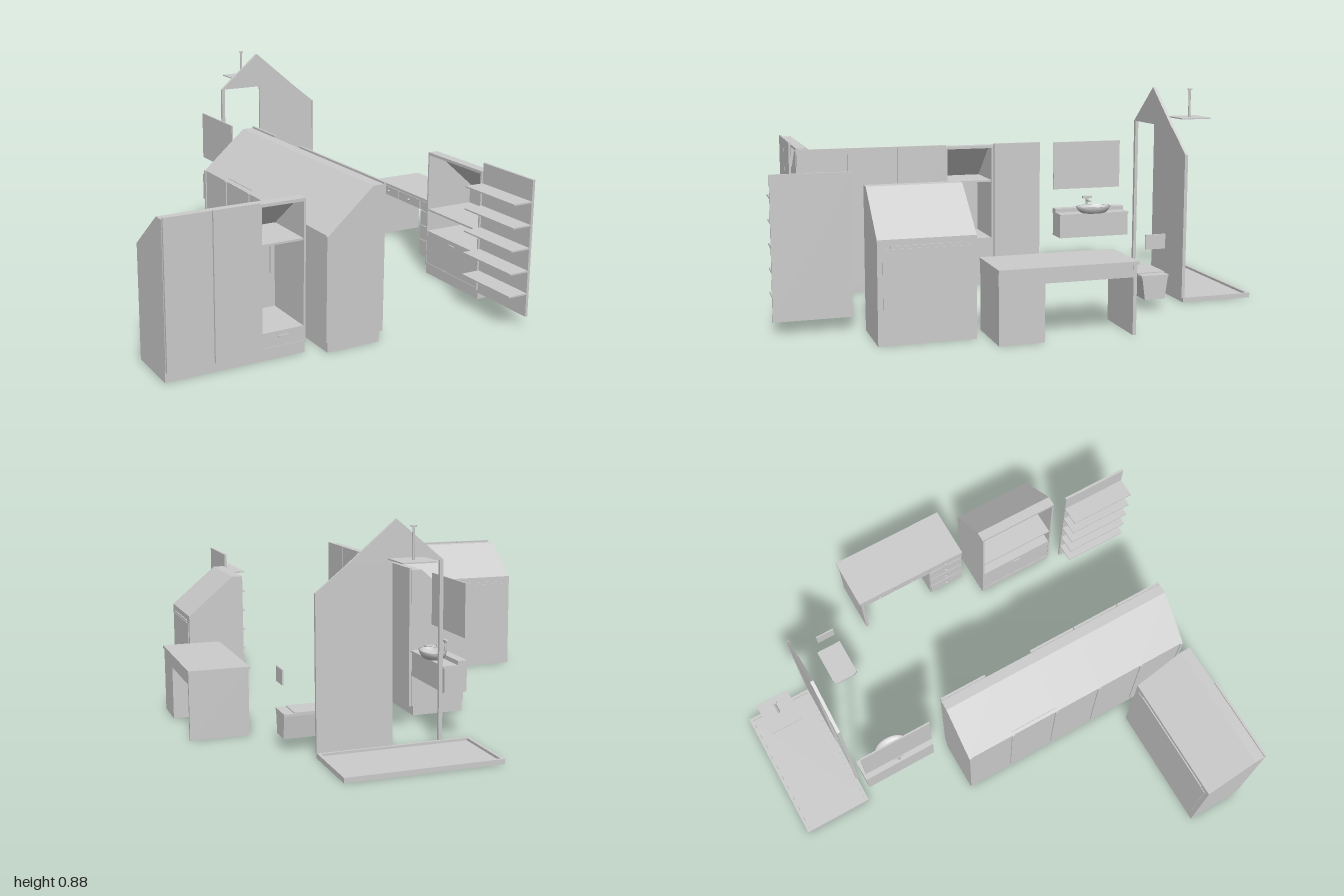
import * as THREE from 'three';

const mat = new THREE.MeshStandardMaterial({ color: 0xcccccc, side: THREE.DoubleSide });

function add(parent, name, geo) {
  const m = new THREE.Mesh(geo, mat);
  m.name = name;
  parent.add(m);
  return m;
}

// box given by its min and max on each axis
function box(parent, name, x0, x1, y0, y1, z0, z1) {
  const m = add(parent, name, new THREE.BoxGeometry(x1 - x0, y1 - y0, z1 - z0));
  m.position.set((x0 + x1) / 2, (y0 + y1) / 2, (z0 + z1) / 2);
  return m;
}

const shapeOf = (pts) => new THREE.Shape(pts.map((p) => new THREE.Vector2(...p)));

// (depth, height) outline swept along x from x0 to x1
function sweep(parent, name, pts, x0, x1) {
  const g = new THREE.ExtrudeGeometry(shapeOf(pts), { depth: x1 - x0, bevelEnabled: false });
  g.rotateY(-Math.PI / 2).translate(x1, 0, 0);
  return add(parent, name, g);
}

// Cabinet under a sloping roof: back at z = 0, front towards +z, centred on x
function cabinet(name, { width, depth, low, top, slope, modules, shelf, drawer, hatch }) {
  const c = new THREE.Group();
  c.name = name;
  const b = 0.04, t = 0.012, step = width / modules.length;
  const outline = [[0, b], [depth, b], [depth, top], [slope, top], [0, low]];
  const shell = [[depth, b], [depth, b + t], [t, b + t], [t, low - 0.005], [slope, top - t],
    [depth, top - t], [depth, top], [slope, top], [0, low], [0, b]];
  box(c, 'plinth', -width / 2, width / 2, 0, b, 0, depth - 0.008);
  modules.forEach((kind, i) => {
    const x0 = -width / 2 + i * step, x1 = x0 + step;
    if (kind === 'door') {
      sweep(c, 'closedModule', outline, x0, x1);
      box(c, 'door', x0 + 0.002, x1 - 0.002, b, top + 0.008, depth, depth + 0.01);
      return;
    }
    // open niche with sides, shelf and drawer
    sweep(c, 'nicheShell', shell, x0, x1);
    sweep(c, 'nicheSide', outline, x0, x0 + 0.008);
    sweep(c, 'nicheSide', outline, x1 - 0.008, x1);
    box(c, 'nicheShelf', x0, x1, shelf - 0.008, shelf, 0.012, depth - 0.004);
    box(c, 'drawer', x0 + 0.004, x1 - 0.004, b + 0.003, drawer, 0.012, depth - 0.002);
    const xm = (x0 + x1) / 2;
    box(c, 'drawerHandle', xm - 0.02, xm + 0.02, drawer - 0.024, drawer - 0.018, depth - 0.002, depth + 0.003);
  });
  // back: hatch with grip, or battens
  if (hatch) {
    const w = width / 2 - 0.02;
    box(c, 'backHatch', -w, w, 0.1, low - 0.035, -0.003, 0.001);
    box(c, 'hatchGrip', -w + 0.03, w - 0.03, low - 0.031, low - 0.023, -0.005, 0.001);
  } else {
    for (let i = 0; i <= modules.length; i++) {
      const x = Math.min(Math.max(-width / 2 + i * step, -width / 2 + 0.007), width / 2 - 0.007);
      box(c, 'backBatten', x - 0.007, x + 0.007, b, low, -0.005, 0.001);
    }
  }
  return c;
}

function shelfUnit() {
  const g = new THREE.Group();
  g.name = 'shelfUnit';
  box(g, 'backPanel', 0.517, 0.528, 0.05, 0.605, 0.7, 1);
  for (let i = 0; i < 5; i++) {
    const y = 0.145 + i * 0.093;
    box(g, 'shelf', 0.432, 0.518, y - 0.003, y + 0.003, 0.7, 1);
  }
  return g;
}

function desk() {
  const g = new THREE.Group();
  g.name = 'desk';
  box(g, 'deskTop', 0.665, 0.91, 0.268, 0.28, -0.305, 0.24);
  box(g, 'apron', 0.675, 0.905, 0.22, 0.268, -0.29, 0.24);
  box(g, 'pedestal', 0.675, 0.905, 0, 0.22, 0.062, 0.238);
  box(g, 'sidePanel', 0.67, 0.908, 0, 0.268, -0.298, -0.284);
  // drawer fronts and knobs face -x
  const fronts = [[0.15, 0.244, 0.17, 0.04], [0.15, 0.185, 0.17, 0.064], [0.15, 0.115, 0.17, 0.064],
    [0.15, 0.045, 0.17, 0.064], [-0.03, 0.244, 0.17, 0.04], [-0.2, 0.244, 0.16, 0.04]];
  for (const [z, y, w, h] of fronts) {
    box(g, 'drawerFront', 0.67, 0.677, y - h / 2, y + h / 2, z - w / 2, z + w / 2);
    const k = add(g, 'drawerKnob', new THREE.SphereGeometry(0.006, 10, 8));
    k.position.set(0.666, y, z);
  }
  return g;
}

function shower() {
  const g = new THREE.Group();
  g.name = 'shower';
  // tray with raised rim
  box(g, 'trayFloor', -0.105, 0.515, 0, 0.01, -1, -0.69);
  const rim = shapeOf([[-0.105, 0.69], [0.515, 0.69], [0.515, 1], [-0.105, 1]]);
  rim.holes.push(shapeOf([[-0.092, 0.703], [0.502, 0.703], [0.502, 0.987], [-0.092, 0.987]]));
  add(g, 'trayRim', new THREE.ExtrudeGeometry(rim, { depth: 0.02, bevelEnabled: false })).rotation.x = -Math.PI / 2;
  // gabled partition with a doorway
  const panel = (name, pts, z, d) => add(g, name,
    new THREE.ExtrudeGeometry(shapeOf(pts), { depth: d, bevelEnabled: false })).position.set(0, 0, z);
  panel('wallPanel', [[0.215, 0.02], [0.515, 0.02], [0.515, 0.62], [0.39, 0.72], [0.215, 0.72]], -0.693, 0.01);
  panel('gable', [[0.01, 0.72], [0.39, 0.72], [0.2, 0.88]], -0.695, 0.014);
  box(g, 'doorPost', 0.01, 0.025, 0.02, 0.72, -0.695, -0.681);
  box(g, 'sidePost', 0.507, 0.517, 0.02, 0.62, -0.695, -0.681);
  // overhead shower
  box(g, 'showerHead', 0.13, 0.27, 0.742, 0.747, -0.925, -0.788);
  add(g, 'showerPipe', new THREE.CylinderGeometry(0.005, 0.005, 0.123, 12)).position.set(0.2, 0.808, -0.857);
  add(g, 'pipeCollar', new THREE.CylinderGeometry(0.011, 0.011, 0.005, 16)).position.set(0.2, 0.868, -0.857);
  return g;
}

function vanity() {
  const g = new THREE.Group();
  g.name = 'vanity';
  box(g, 'vanityCabinet', -0.105, -0.01, 0.195, 0.295, -0.667, -0.338);
  box(g, 'counter', -0.105, -0.004, 0.295, 0.303, -0.668, -0.337);
  box(g, 'splashLedge', -0.105, -0.066, 0.303, 0.32, -0.668, -0.337);
  box(g, 'mirror', -0.105, -0.098, 0.405, 0.62, -0.66, -0.338);
  // oval basin with hollow bowl
  const profile = [[0, 0.0], [0.7, 0], [0.9, 0.014], [1, 0.03], [0.9, 0.03], [0.78, 0.012], [0, 0.006]];
  const bowl = add(g, 'basin', new THREE.LatheGeometry(profile.map((p) => new THREE.Vector2(...p)), 40));
  bowl.scale.set(0.05, 1, 0.082);
  bowl.position.set(-0.03, 0.302, -0.505);
  // tap
  add(g, 'tapStem', new THREE.CylinderGeometry(0.006, 0.006, 0.05, 12)).position.set(-0.09, 0.34, -0.498);
  box(g, 'tapSpout', -0.092, -0.05, 0.346, 0.354, -0.504, -0.492);
  box(g, 'tapHandle', -0.097, -0.083, 0.36, 0.37, -0.52, -0.476);
  return g;
}

function toilet() {
  const g = new THREE.Group();
  g.name = 'toilet';
  // bowl tapers towards the bottom, its rear stays upright
  const geo = new THREE.BoxGeometry(0.178, 0.09, 0.112);
  const p = geo.attributes.position;
  for (let i = 0; i < p.count; i++) {
    if (p.getY(i) > 0) continue;
    p.setZ(i, p.getZ(i) * 0.78);
    if (p.getX(i) < 0) p.setX(i, p.getX(i) + 0.042);
  }
  geo.computeVertexNormals();
  add(g, 'bowl', geo).position.set(0.516, 0.093, -0.517);
  // lid with rounded front corners
  const s = new THREE.Shape();
  s.moveTo(0.565, 0.458).lineTo(0.565, 0.576).lineTo(0.445, 0.576);
  s.quadraticCurveTo(0.422, 0.576, 0.422, 0.553).lineTo(0.422, 0.481);
  s.quadraticCurveTo(0.422, 0.458, 0.445, 0.458).lineTo(0.565, 0.458);
  const lid = add(g, 'lid', new THREE.ExtrudeGeometry(s, { depth: 0.013, bevelEnabled: false }));
  lid.rotation.x = -Math.PI / 2;
  lid.position.y = 0.138;
  box(g, 'rearBlock', 0.565, 0.606, 0.138, 0.147, -0.576, -0.458);
  box(g, 'flushPlate', 0.6, 0.606, 0.255, 0.315, -0.557, -0.471);
  return g;
}

export function createModel() {
  const model = new THREE.Group();
  model.name = 'roomFurniture';

  const wardrobe = cabinet('wardrobe', { width: 0.56, depth: 0.24, low: 0.45, top: 0.602, slope: 0.195,
    modules: ['door', 'door', 'open'], shelf: 0.45, drawer: 0.11, hatch: true });
  wardrobe.position.set(-0.632, 0, 0.55);
  box(wardrobe, 'nicheRail', 0.25, 0.256, 0.25, 0.39, 0.012, 0.02);

  const longCabinet = cabinet('longCabinet', { width: 1.08, depth: 0.235, low: 0.455, top: 0.622, slope: 0.19,
    modules: ['door', 'door', 'door', 'open', 'door'], shelf: 0.468, drawer: 0.21 });
  longCabinet.position.set(-0.28, 0, 0.29);
  longCabinet.rotation.y = Math.PI / 2;

  const lowCabinet = cabinet('lowCabinet', { width: 0.37, depth: 0.24, low: 0.39, top: 0.556, slope: 0.195,
    modules: ['open'], shelf: 0.3, drawer: 0.2, hatch: true });
  lowCabinet.position.set(0.785, 0, 0.47);
  lowCabinet.rotation.y = -Math.PI / 2;

  model.add(wardrobe, longCabinet, lowCabinet, shelfUnit(), desk(), shower(), vanity(), toilet());
  return model;
}
